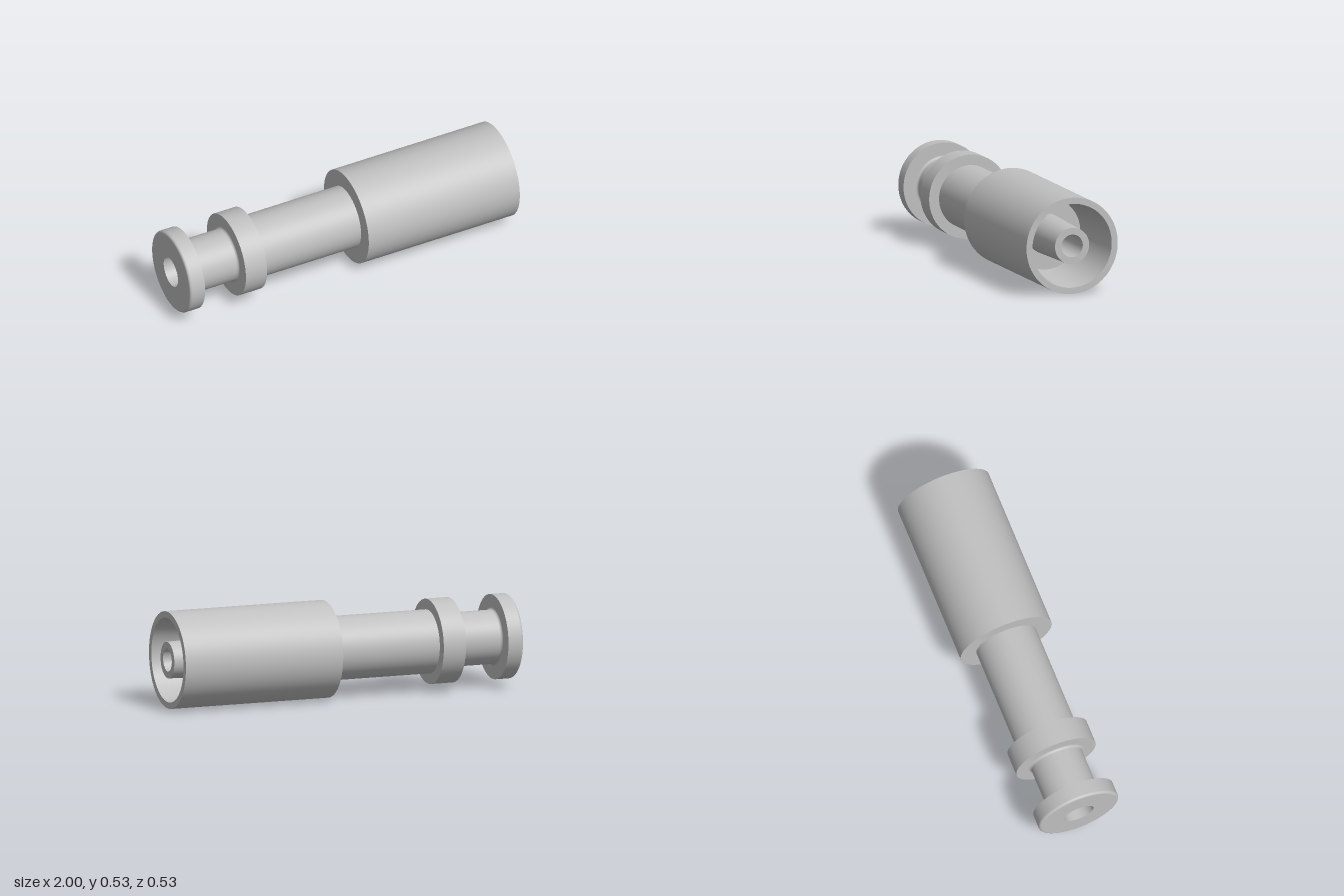
import * as THREE from 'three';

const SEGMENTS = 96;
const AXIS_HEIGHT = 0.267;

// Quarter arc of profile points [x, radius] between two angles
function arc(cx, cr, r, from, to, steps = 6) {
  return Array.from({ length: steps + 1 }, (_, i) => {
    const a = from + (to - from) * i / steps;
    return [cx + r * Math.cos(a), cr + r * Math.sin(a)];
  });
}

export function createModel() {
  const group = new THREE.Group();
  const grey = new THREE.MeshStandardMaterial({ color: 0xc0c0c0 });
  grey.name = 'light grey';

  // Turns a profile of [x, radius] points around the x axis
  function turn(parent, name, points) {
    const geometry = new THREE.LatheGeometry(points.map(([x, r]) => new THREE.Vector2(r, x)), SEGMENTS);
    geometry.rotateZ(-Math.PI / 2);
    const mesh = new THREE.Mesh(geometry, grey);
    mesh.name = name;
    parent.add(mesh);
  }

  // Each straight run is its own surface, so the edges between runs stay sharp
  function part(name, points) {
    const g = new THREE.Group();
    g.name = name;
    for (let i = 0; i < points.length - 1; i++) turn(g, name + 'Surface', [points[i], points[i + 1]]);
    group.add(g);
  }

  const PI = Math.PI;
  const f = 0.014;

  // End flange with a rounded outer corner
  part('endFlangeFace', [[-1, 0.085], [-1, 0.233 - f]]);
  turn(group, 'endFlangeCorner', arc(-1 + f, 0.233 - f, f, PI, PI / 2));
  part('endFlange', [[-1 + f, 0.233], [-0.91, 0.233], [-0.91, 0.148 + f]]);

  // Neck, filleted into both flanges
  turn(group, 'neckFilletEnd', arc(-0.91 + f, 0.148 + f, f, PI, PI * 1.5));
  part('neck', [[-0.91 + f, 0.148], [-0.66 - f, 0.148]]);
  turn(group, 'neckFilletCollar', arc(-0.66 - f, 0.148 + f, f, PI * 1.5, PI * 2));

  // Collar, barrel and wide sleeve
  part('collar', [[-0.66, 0.148 + f], [-0.66, 0.233], [-0.53, 0.233], [-0.53, 0.175]]);
  part('barrel', [[-0.53, 0.175], [0.075, 0.175]]);
  part('sleeve', [[0.075, 0.175], [0.075, 0.267], [1, 0.267], [1, 0.232]]);

  // Tapered socket inside the sleeve, with the nozzle standing in it
  part('socket', [[1, 0.232], [0.62, 0.198], [0.62, 0.111]]);
  part('nozzle', [[0.62, 0.111], [1, 0.1], [1, 0.0625]]);

  // Through bore, wider at the flange end
  part('bore', [[1, 0.0625], [-0.55, 0.0625], [-0.6, 0.073], [-1, 0.085]]);

  group.position.y = AXIS_HEIGHT;
  const model = new THREE.Group();
  model.name = 'connector';
  model.add(group);
  return model;
}
